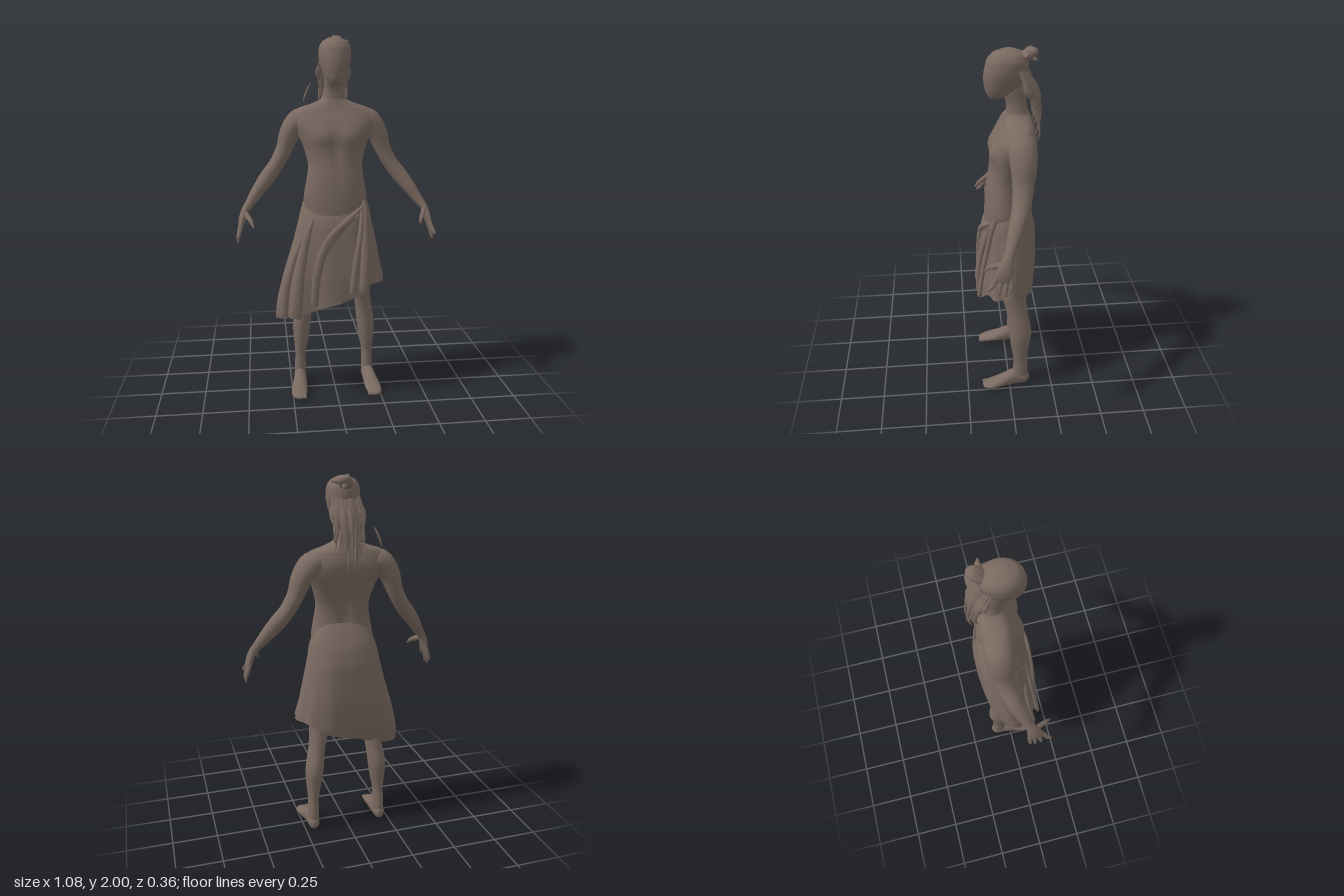
import * as THREE from 'three';

const V = (x, y, z) => new THREE.Vector3(x, y, z);
const Y = V(0, 1, 0), Z = V(0, 0, 1);
const clay = new THREE.MeshStandardMaterial({ color: 0x7a6a61 });
clay.name = 'brown clay';
const cloth = clay.clone();
cloth.name = 'brown cloth';
cloth.side = THREE.DoubleSide;

const bell = (d, w) => Math.exp(-(d * d) / (w * w));
const pw = (v, p) => Math.sign(v) * Math.pow(Math.abs(v), p);

// Piecewise linear lookup in [[key, value], ...] with rising keys
function look(keys, k) {
  if (k <= keys[0][0]) return keys[0][1];
  for (let i = 1; i < keys.length; i++) {
    const [a, va] = keys[i - 1], [b, vb] = keys[i];
    if (k <= b) return va + (vb - va) * (k - a) / (b - a);
  }
  return keys[keys.length - 1][1];
}

// Smooth closed loft through rows of [x, y, z, radius across, radius along ref]
function loft(rows, { ref = Z, axis = null, seg = 20, steps = 4, power = 1, shape = null } = {}) {
  const path = new THREE.CatmullRomCurve3(rows.map(r => V(r[0], r[1], r[2])));
  const radii = new THREE.CatmullRomCurve3(rows.map(r => V(r[3], r[4], 0)));
  const n = (rows.length - 1) * steps, pos = [], idx = [];
  const put = p => { if (shape) shape(p); pos.push(p.x, p.y, p.z); };
  for (let i = 0; i <= n; i++) {
    const c = path.getPoint(i / n), r = radii.getPoint(i / n);
    const t = axis || path.getTangent(i / n);
    const v = ref.clone().addScaledVector(t, -ref.dot(t)).normalize();
    const u = v.clone().cross(t);
    for (let j = 0; j < seg; j++) {
      const a = j / seg * Math.PI * 2;
      put(c.clone().addScaledVector(u, r.x * pw(Math.cos(a), power))
        .addScaledVector(v, r.y * pw(Math.sin(a), power)));
      if (i < n) {
        const k = (j + 1) % seg, b = i * seg;
        idx.push(b + j, b + k, b + seg + j, b + k, b + seg + k, b + seg + j);
      }
    }
  }
  put(path.getPoint(0));
  put(path.getPoint(1));
  const s = (n + 1) * seg;
  for (let j = 0; j < seg; j++) {
    const k = (j + 1) % seg;
    idx.push(s, k, j, s + 1, n * seg + j, n * seg + k);
  }
  return finish(pos, idx);
}

function finish(pos, idx) {
  const g = new THREE.BufferGeometry();
  g.setAttribute('position', new THREE.Float32BufferAttribute(pos, 3));
  g.setIndex(idx);
  g.computeVertexNormals();
  return g;
}

// Rows of [y, half width, front z, back z] become loft rows
const stack = rows => rows.map(([y, w, f, b]) => [0, y, (f + b) / 2, w, (f - b) / 2]);

// Skirt outline by height
const sideL = [[.5, .285], [.66, .272], [.8, .24], [1, .2], [1.2, .17]];
const sideR = [[.47, -.34], [.55, -.335], [.7, -.295], [.87, -.24], [1, -.205], [1.2, -.17]];
const front = [[.5, .172], [.7, .165], [1, .142], [1.2, .115]];
const back = [[.5, -.1], [.62, -.142], [.8, -.156], [1, -.156], [1.1, -.136], [1.24, -.08]];
const hem = [[-.34, .475], [-.2, .495], [0, .57], [.12, .61], [.17, .65], [.28, .67]];

function skirtPoint(a, y) {
  const l = look(sideL, y), r = look(sideR, y), f = look(front, y), b = look(back, y);
  return V((l + r) / 2 + (l - r) / 2 * pw(Math.cos(a), .85), y,
    (f + b) / 2 + (f - b) / 2 * pw(Math.sin(a), .85));
}

// Wrapped skirt with a slanted waist and hem
function skirtGeometry() {
  const seg = 120, n = 28, pos = [], idx = [];
  for (let i = 0; i <= n; i++) for (let j = 0; j < seg; j++) {
    const t = i / n, a = j / seg * Math.PI * 2, c = Math.cos(a), s = Math.sin(a);
    const top = 1.14 - .085 * s + .02 * c;
    const low = look(hem, c * .31 - .03);
    const p = skirtPoint(a, top + (low - top) * t);
    // pleats deepen towards the hem and are strongest in front
    const pleat = Math.sin(a * 11 + 3 * t) * (s > 0 ? .02 : .006) + Math.sin(a * 5 + 1) * .012;
    const k = 1 + pleat * t * 2.2 - .11 * Math.exp(-t * 14);
    pos.push(p.x * k, p.y, p.z * k);
    if (i < n) {
      const m = (j + 1) % seg, b = i * seg;
      idx.push(b + j, b + m, b + seg + j, b + m, b + seg + m, b + seg + j);
    }
  }
  return finish(pos, idx);
}

// Fold of cloth lying on the skirt front: rows of [x, y, width, lift]
function foldGeometry(rows) {
  return loft(rows.map(([x, y, w, lift]) => {
    const l = look(sideL, y), r = look(sideR, y), f = look(front, y), b = look(back, y);
    const q = Math.min(.97, Math.abs((x - (l + r) / 2) / ((l - r) / 2)));
    const z = (f + b) / 2 + (f - b) / 2 * Math.pow(1 - Math.pow(q, 2.35), 1 / 2.35);
    return [x, y, z + lift, w, .014];
  }), { seg: 12 });
}

export function createModel() {
  const model = new THREE.Group();
  const add = (name, geo, mat = clay) => {
    const m = new THREE.Mesh(geo, mat);
    m.name = name;
    model.add(m);
    return m;
  };

  // Torso and neck with chest, shoulder blades and spine groove
  add('torso', loft(stack([
    [1.0, .178, .122, -.13], [1.08, .172, .122, -.115], [1.14, .173, .12, -.092], [1.22, .16, .114, -.072],
    [1.31, .148, .1, -.08], [1.41, .17, .086, -.11], [1.49, .205, .076, -.138], [1.55, .235, .055, -.148],
    [1.59, .226, .034, -.142], [1.617, .188, .02, -.135], [1.637, .125, .012, -.128], [1.665, .066, .003, -.113],
    [1.72, .054, .005, -.1], [1.78, .053, .03, -.09], [1.82, .05, .03, -.08]
  ]), {
    axis: Y, seg: 48, steps: 5, power: .92, shape: p => {
      const side = Math.abs(p.x);
      if (p.z > 0) p.z += .02 * bell(side - .085, .065) * bell(p.y - 1.47, .055) - .008 * bell(side, .02) * bell(p.y - 1.4, .15);
      else p.z += .022 * bell(side, .03) * bell(p.y - 1.35, .2) - .01 * bell(side - .11, .05) * bell(p.y - 1.5, .07);
    }
  }));

  // Smooth faceless head
  add('head', loft(stack([
    [1.735, .018, .078, .035], [1.75, .038, .094, 0], [1.78, .058, .108, -.06], [1.83, .075, .115, -.092],
    [1.88, .086, .112, -.108], [1.93, .084, .1, -.11], [1.965, .064, .072, -.088], [1.985, .025, .02, -.04]
  ]), { axis: Y, seg: 32 }));

  for (const [side, s] of [['left', 1], ['right', -1]]) {
    const flip = rows => rows.map(r => [r[0] * s, ...r.slice(1)]);
    // Arm and palm
    add(side + 'Arm', loft(flip([
      [.06, 1.54, -.06, .03, .04], [.125, 1.555, -.06, .05, .066], [.185, 1.548, -.062, .066, .074], [.238, 1.485, -.063, .057, .069],
      [.275, 1.39, -.059, .044, .056], [.318, 1.31, -.048, .041, .05], [.363, 1.25, -.032, .043, .046],
      [.417, 1.18, -.004, .036, .039], [.467, 1.11, .025, .026, .028], [.49, 1.08, .038, .021, .03],
      [.506, 1.04, .05, .02, .04], [.516, 1.0, .06, .016, .046], [.52, .975, .064, .01, .04]
    ]), { seg: 28 }));
    // Four fingers and a thumb
    const tips = [[.94, .142], [.905, .086], [.9, .052], [.925, .025]];
    tips.forEach(([y, z], i) => {
      const root = .1 - i * .026;
      add(side + 'Finger', loft(flip([
        [.516, 1.0, root, .01, .011], [.526, .967, root * .65 + z * .35, .011, .012],
        [.533, (y + .965) / 2, root * .25 + z * .75, .009, .009], [.536, y, z, .004, .004]
      ]), { seg: 8, steps: 3 }));
    });
    add(side + 'Thumb', loft(flip([
      [.498, 1.07, .05, .014, .018], [.478, 1.05, .09, .014, .016],
      [.46, 1.03, .128, .011, .012], [.449, 1.005, .152, .005, .005]
    ]), { ref: Y, seg: 8 }));

    // Leg, listed from the ankle upward
    add(side + 'Leg', loft(flip([
      [.2, .03, -.07, .03, .04], [.198, .11, -.066, .032, .044], [.197, .18, -.065, .03, .041],
      [.192, .28, -.062, .042, .052], [.186, .38, -.064, .051, .064], [.168, .5, -.048, .047, .06],
      [.15, .6, -.032, .055, .067], [.14, .7, -.025, .068, .08], [.125, .85, -.03, .08, .09],
      [.1, 1.0, -.03, .075, .1]
    ]), { axis: Y, seg: 24 }));
    // Flat-soled foot
    add(side + 'Foot', loft(flip([
      [.198, .04, -.117, .012, .02], [.2, .042, -.095, .031, .04], [.201, .05, -.03, .035, .055],
      [.208, .034, .04, .042, .036], [.214, .02, .1, .045, .021], [.215, .013, .14, .037, .014],
      [.215, .01, .16, .018, .007]
    ]), { axis: Z, ref: Y, shape: p => { p.y = Math.max(.004, p.y); } }));
    // Toes
    for (let i = 0; i < 5; i++) {
      const toe = add(side + 'Toe', new THREE.SphereGeometry(i ? .009 : .012, 10, 8));
      toe.scale.z = 1.8;
      toe.position.set(s * (.186 + i * .0155), .012, .142 - i * i * .0025);
    }
  }

  // Skirt, its gathered folds and hanging ends
  add('skirt', skirtGeometry(), cloth);
  const folds = [
    [[.15, 1.12, .008, -.012], [.155, 1.06, .016, .004], [.155, .95, .02, .008], [.15, .8, .024, .014], [.142, .63, .026, .016]],
    [[.14, 1.1, .008, -.008], [.125, .95, .014, .01], [.1, .8, .018, .012], [.08, .62, .02, .008]],
    [[.14, 1.09, .008, -.008], [.06, 1.03, .018, .002], [-.05, .92, .022, .002], [-.11, .75, .024, .001], [-.13, .56, .02, -.008]],
    [[.12, 1.05, .008, -.01], [0, .96, .02, -.004], [-.09, .82, .022, -.004], [-.12, .68, .01, -.014]],
    [[-.13, 1.03, .008, -.014], [-.165, .92, .02, .002], [-.2, .75, .024, .008], [-.235, .49, .036, .016]],
    [[-.19, .92, .008, -.014], [-.24, .78, .018, 0], [-.28, .63, .022, .004], [-.3, .48, .026, .008]]
  ];
  for (const f of folds) add('skirtFold', foldGeometry(f));
  add('skirtEnd', loft([
    [-.2, .82, -.03, .015, .03], [-.25, .66, -.02, .025, .05],
    [-.272, .56, -.005, .028, .055], [-.282, .5, 0, .025, .05], [-.285, .48, 0, .01, .025]
  ]));

  // Hair knot at the crown with loose tufts
  add('hairKnot', loft([
    [0, 1.93, -.07, .035, .03], [.012, 1.952, -.095, .038, .03], [.022, 1.968, -.118, .036, .03],
    [.03, 1.97, -.136, .028, .024], [.034, 1.965, -.147, .01, .01]
  ], { ref: Y, seg: 14 }));
  const tufts = [[.085, 1.965, -.085], [.01, 1.998, -.12], [.04, 1.935, -.145]];
  for (const [x, y, z] of tufts) add('hairTuft', loft([
    [.01, 1.95, -.085, .022, .018], [x * .6, (y + 1.96) / 2, (z - .1) / 2, .018, .015], [x, y, z, .005, .005]
  ], { ref: V(1, 1, 0).normalize(), seg: 8 }));

  // Thin locks hanging down the neck and back
  let seed = 7;
  const rnd = () => (seed = (seed * 16807) % 2147483647) / 2147483647;
  for (let i = 0; i < 15; i++) {
    const x = -.076 + .152 * i / 14, mid = 1 - Math.abs(x) / .085;
    const end = 1.73 - .29 * Math.sqrt(mid) * (.35 + .65 * rnd());
    const z = -.045 - .06 * Math.sqrt(mid), ex = x + (rnd() - .5) * .03;
    const w = .006 + .006 * rnd();
    add('hairLock', loft([
      [x * .8, 1.91, z * .8, w * .6, w * .6], [x, 1.84, z - .018, w, w],
      [x, (1.84 + end) / 2, z - .045 - .02 * rnd(), w, w],
      [ex, end + .05, z - .06 - .015 * rnd(), w * .7, w * .7], [ex, end, z - .06, .002, .002]
    ], { seg: 7, steps: 3 }));
  }
  add('strayLock', loft([
    [-.118, 1.745, -.15, .002, .002], [-.132, 1.715, -.16, .005, .005],
    [-.147, 1.68, -.165, .006, .006], [-.158, 1.64, -.165, .002, .002]
  ], { seg: 7 }));
  return model;
}
